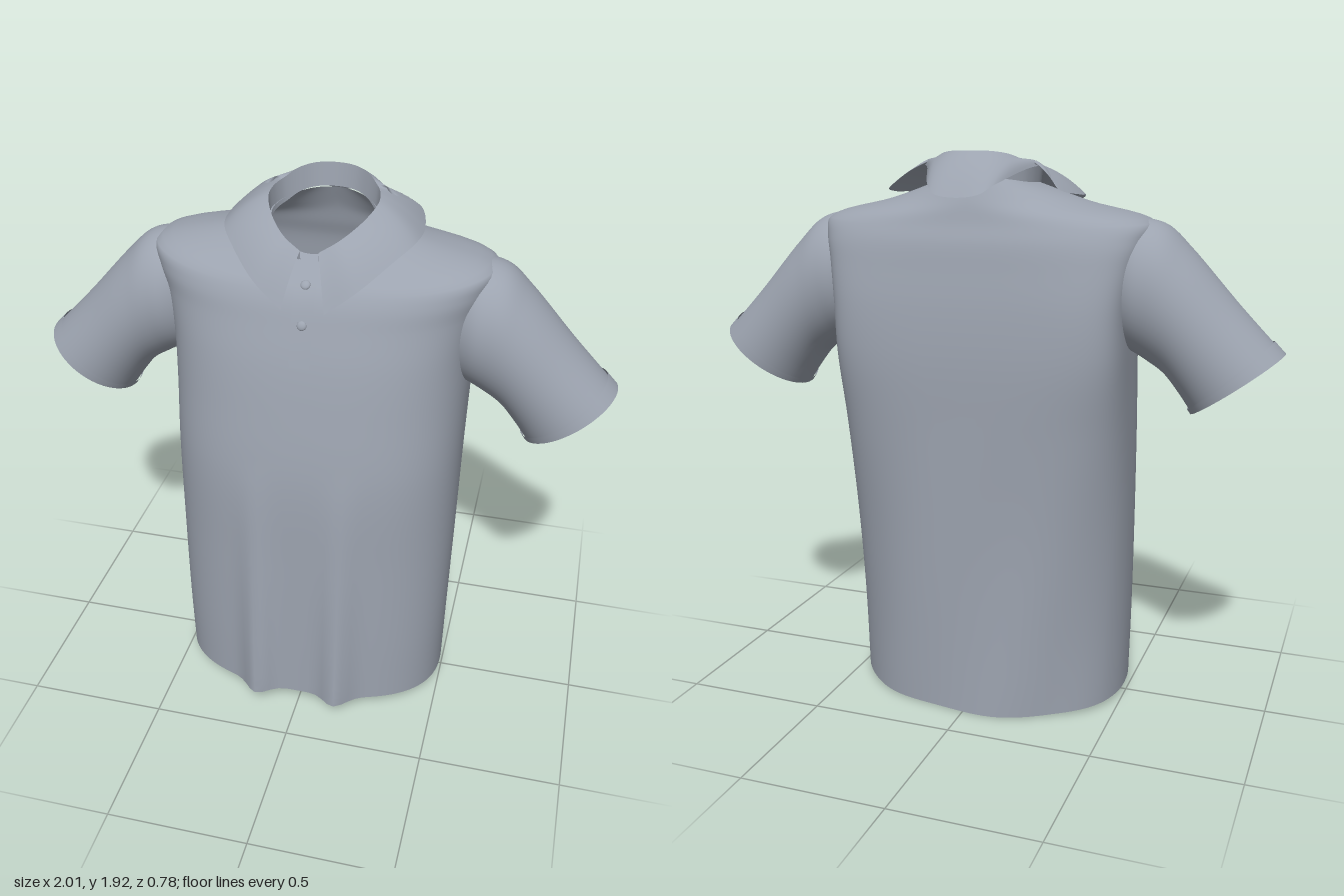
import * as THREE from 'three';

const fabric = new THREE.MeshStandardMaterial({ color: 0x9ca3af, side: THREE.DoubleSide });
fabric.name = 'grey fabric';

const V = (x, y, z) => new THREE.Vector3(x, y, z);
const power = (v, p) => Math.sign(v) * Math.abs(v) ** p;
const curve = (points) => new THREE.CatmullRomCurve3(points);
const clamp = THREE.MathUtils.clamp;

// Smooth surface through a grid of points; rows of equal length, optionally wrapped
function surface(name, rows, closed) {
  const n = rows[0].length, index = [];
  for (let j = 0; j < rows.length - 1; j++) {
    for (let i = 0; i < (closed ? n : n - 1); i++) {
      const a = j * n + i, b = j * n + (i + 1) % n;
      index.push(a, a + n, b, b, a + n, b + n);
    }
  }
  const geometry = new THREE.BufferGeometry().setFromPoints(rows.flat());
  geometry.setIndex(index);
  geometry.computeVertexNormals();
  const mesh = new THREE.Mesh(geometry, fabric);
  mesh.name = name;
  return mesh;
}

// Closed loft: ring(k, angle) gives a point on key ring k; columns are smoothed
function loft(name, keys, ring, around, along, from = 0, to = 1, adjust = (p) => p) {
  const columns = [];
  for (let i = 0; i < around; i++) {
    const angle = (i / around) * Math.PI * 2;
    columns.push(curve(keys.map((k) => ring(k, angle))));
  }
  const rows = [];
  for (let j = 0; j <= along; j++) {
    const t = from + (to - from) * j / along;
    rows.push(columns.map((c) => adjust(c.getPoint(t))));
  }
  return surface(name, rows, true);
}

// Torso rings: front, side, back height, half width, front z, back z,
// front squareness, back squareness, z of the widest point
const torsoRings = [
  [0.033, 0.033, 0.033, 0.495, 0.335, -0.372, 2.4, 2.1, 0],
  [0.3, 0.3, 0.3, 0.5, 0.335, -0.367, 2.4, 2.2, 0],
  [0.65, 0.65, 0.65, 0.505, 0.333, -0.363, 2.4, 2.5, -0.02],
  [1.0, 1.0, 1.0, 0.507, 0.325, -0.365, 2.5, 3.3, -0.05],
  [1.25, 1.25, 1.25, 0.51, 0.29, -0.368, 2.5, 4.5, -0.08],
  [1.42, 1.42, 1.42, 0.515, 0.257, -0.357, 2.5, 5, -0.08],
  [1.54, 1.56, 1.54, 0.54, 0.223, -0.34, 2.4, 4.2, -0.08],
  [1.61, 1.64, 1.63, 0.565, 0.2, -0.325, 2.4, 3.4, -0.08],
  [1.65, 1.695, 1.69, 0.57, 0.18, -0.305, 2.3, 2.8, -0.08],
  [1.69, 1.763, 1.76, 0.34, 0.15, -0.285, 2, 2, -0.08],
  [1.75, 1.82, 1.84, 0.17, 0.1, -0.25, 2, 2, -0.08],
];

function torsoPoint([yf, ys, yb, hx, zf, zb, nf, nb, mid], angle) {
  const c = Math.cos(angle), s = Math.sin(angle);
  const [y, z, n] = s > 0 ? [yf, zf, nf] : [yb, zb, nb];
  return V(hx * power(c, 2 / n), ys + (y - ys) * s * s, mid + (z - mid) * Math.abs(s) ** (2 / n));
}

// Hem sloping down to the back, and hanging folds that deepen towards it
function drape(p) {
  const f = clamp(1.05 - p.y, 0, 1);
  if (p.z > 0) p.z += f * 0.06 * Math.exp(-(((Math.abs(p.x) - 0.15) / 0.055) ** 2));
  else p.z += f * clamp((-0.15 - p.z) / 0.15, 0, 1) * 0.008 * (1 + Math.sin(14 * p.x + 4 * p.y));
  p.y += 0.09 * p.z * clamp(1 - p.y / 0.35, 0, 1);
  return p;
}

// Sleeve rings: top x, y, bottom x, y, half depth
const sleeveRings = [
  [0.44, 1.69, 0.45, 1.3, 0.14],
  [0.53, 1.71, 0.515, 1.275, 0.178],
  [0.61, 1.692, 0.56, 1.25, 0.182],
  [0.69, 1.62, 0.62, 1.21, 0.178],
  [0.85, 1.445, 0.67, 1.15, 0.17],
  [1.0, 1.29, 0.715, 1.085, 0.166],
];

const sleevePoint = (side, grow) => ([tx, ty, bx, by, depth], angle) => {
  const c = (Math.cos(angle) * grow + 1) / 2;
  const x = bx + (tx - bx) * c, y = by + (ty - by) * c;
  return V(side * x, y, -0.085 - side * Math.sin(angle) * depth * grow);
};

// Collar half, front to back: fold point, then outer edge point
const collarZ = -0.08;
const collarKeys = [
  [0.03, 1.765, 0.12, 0.07, 1.6, 0.215],
  [0.09, 1.8, 0.095, 0.17, 1.674, 0.178],
  [0.15, 1.84, 0.02, 0.26, 1.742, 0.09],
  [0.18, 1.87, -0.06, 0.315, 1.775, 0],
  [0.178, 1.88, -0.11, 0.327, 1.782, -0.11],
  [0.168, 1.885, -0.145, 0.29, 1.805, -0.24],
  [0.155, 1.89, -0.17, 0.21, 1.872, -0.15],
  [0.12, 1.91, -0.21, 0.115, 1.82, -0.34],
  [0.07, 1.92, -0.245, 0.075, 1.79, -0.385],
  [0, 1.922, -0.26, 0, 1.78, -0.395],
];

function makeCollar() {
  const mirrored = collarKeys.slice(0, -1).reverse().map(([a, b, c, d, e, f]) => [-a, b, c, -d, e, f]);
  const keys = [...collarKeys, ...mirrored];
  const fold = curve(keys.map((k) => V(k[0], k[1], k[2])));
  const edge = curve(keys.map((k) => V(k[3], k[4], k[5])));
  const steps = 144, leafRows = 8;
  const leaf = Array.from({ length: leafRows + 1 }, () => []);
  const stand = [[], [], []];
  for (let i = 0; i <= steps; i++) {
    const a = fold.getPoint(i / steps), b = edge.getPoint(i / steps);
    const out = V(a.x, 0, a.z - collarZ).normalize();
    const bend = a.clone().lerp(b, 0.45).addScaledVector(out, 0.01);
    bend.y += 0.02;
    const fall = new THREE.QuadraticBezierCurve3(a, bend, b);
    leaf.forEach((row, j) => row.push(fall.getPoint(j / leafRows)));
    stand.forEach((row, j) => row.push(V(a.x, a.y - 0.04 * (2 - j), a.z).addScaledVector(out, -0.004 * (2 - j))));
  }
  const collar = new THREE.Group();
  collar.name = 'collar';
  collar.add(surface('collarLeaf', leaf, false), surface('collarStand', stand, false));
  return collar;
}

// Button strip that follows the front of the torso
function makePlacket() {
  const front = curve(torsoRings.map((k) => torsoPoint(k, Math.PI / 2)));
  const rows = [];
  for (let j = 0; j <= 16; j++) {
    const p = front.getPoint(0.5 + 0.5 * j / 16);
    rows.push([0.035, -0.035].map((x) => V(x, p.y + 0.001, p.z + 0.003)));
  }
  return surface('placket', rows, false);
}

export function createModel() {
  const shirt = new THREE.Group();
  shirt.name = 'shirt';
  shirt.add(loft('torso', torsoRings, torsoPoint, 128, 60, 0, 1, drape));

  for (const side of [1, -1]) {
    const label = side > 0 ? 'left' : 'right';
    shirt.add(loft(label + 'Sleeve', sleeveRings, sleevePoint(side, 1), 48, 24));
    shirt.add(loft(label + 'Cuff', sleeveRings, sleevePoint(side, 1.03), 48, 4, 0.95, 1));
  }

  shirt.add(makeCollar(), makePlacket());

  // Two buttons below the collar opening
  for (const [y, z, tilt] of [[1.675, 0.168, -0.8], [1.557, 0.221, -0.35]]) {
    const button = new THREE.Mesh(new THREE.SphereGeometry(0.016, 20, 12), fabric);
    button.name = 'button';
    button.scale.z = 0.5;
    button.position.set(0, y, z);
    button.rotation.x = tilt;
    shirt.add(button);
  }
  return shirt;
}
